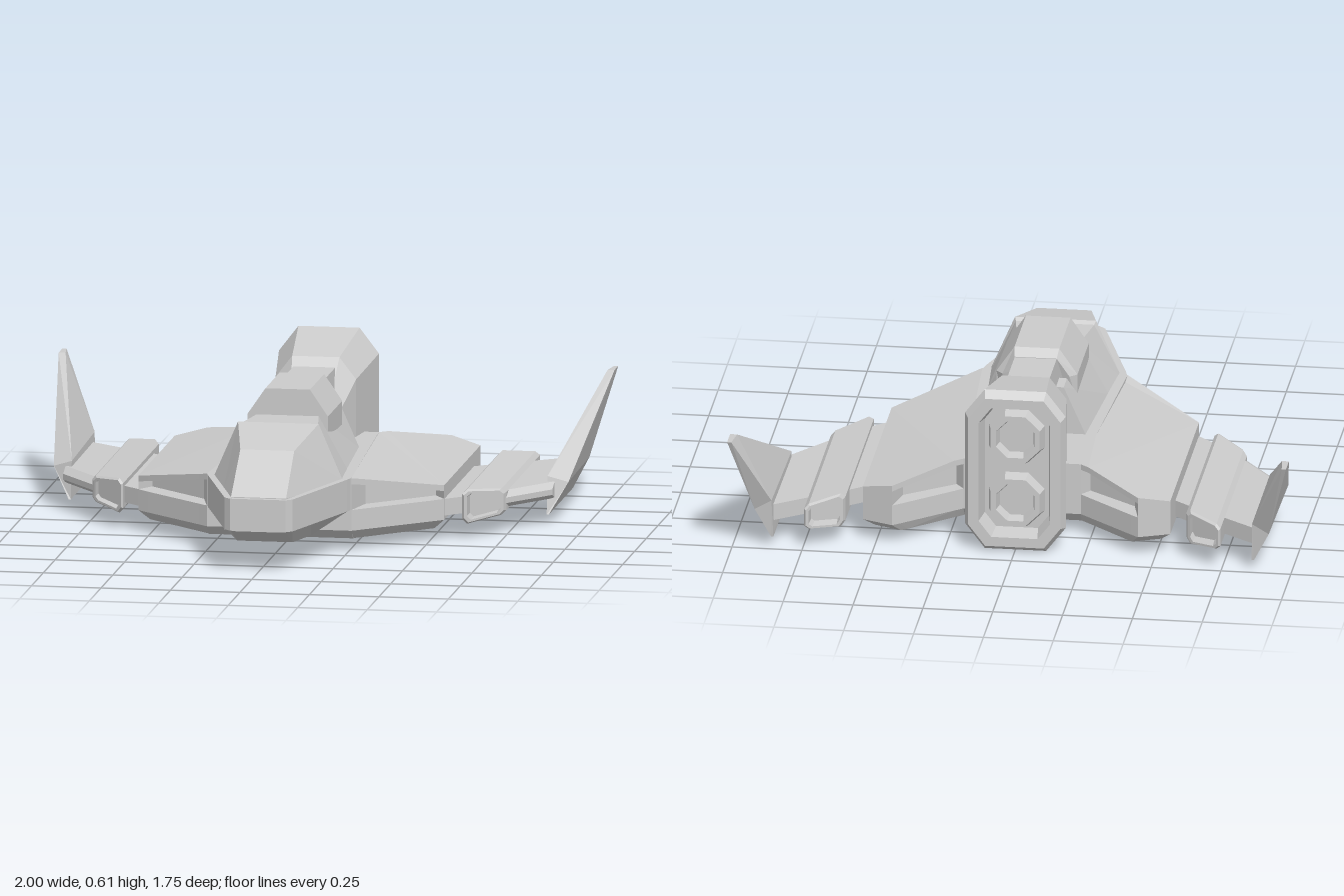
import * as THREE from 'three';

const material = new THREE.MeshStandardMaterial({ color: 0xcccccc, flatShading: true, side: THREE.DoubleSide });

// Skins a row of matching loops and caps both ends; (a, b) are the axes the caps are flattened onto
function loft(name, loops, a, b) {
  const tris = [];
  for (let i = 0; i < loops.length - 1; i++) {
    const p = loops[i], q = loops[i + 1];
    for (let j = 0; j < p.length; j++) {
      const k = (j + 1) % p.length;
      tris.push([p[j], p[k], q[k]], [p[j], q[k], q[j]]);
    }
  }
  const cap = (loop, reverse) => {
    const flat = loop.map(p => new THREE.Vector2(p[a], p[b]));
    const sign = Math.sign(THREE.ShapeUtils.area(flat)) * (reverse ? -1 : 1);
    for (const t of THREE.ShapeUtils.triangulateShape(flat, [])) {
      const same = THREE.ShapeUtils.area(t.map(i => flat[i])) * sign > 0;
      const [x, y, z] = t.map(i => loop[i]);
      tris.push(same ? [x, y, z] : [x, z, y]);
    }
  };
  cap(loops[0], true);
  cap(loops[loops.length - 1], false);
  // Turn all faces outward
  let volume = 0;
  for (const [p, q, r] of tris) {
    const [u, v, w] = [p, q, r].map(c => new THREE.Vector3(...c));
    volume += u.dot(v.cross(w));
  }
  if (volume < 0) tris.forEach(t => t.reverse());
  const geometry = new THREE.BufferGeometry();
  geometry.setAttribute('position', new THREE.Float32BufferAttribute(tris.flat(2), 3));
  geometry.computeVertexNormals();
  const mesh = new THREE.Mesh(geometry, material);
  mesh.name = name;
  return mesh;
}

// Loft along z from half outlines [x, y], mirrored in x
const loftZ = (name, sections) => loft(name, sections.map(({ z, half }) => {
  const right = half.map(([x, y, dz = 0]) => [x, y, z + dz]);
  return [...right, ...right.map(([x, y, pz]) => [-x, y, pz]).reverse()];
}), 0, 1);

// Loft upward from plan loops [x, z]; height may be a function of x
const loftY = (name, side, layers) => loft(name, layers.map(([plan, y]) =>
  plan.map(([x, z]) => [x * side, typeof y === 'function' ? y(x) : y, z])), 0, 2);

function addSide(group, side) {
  // Thick inner wing with slots in its leading and inner trailing edges
  const plan = [[0.2, 0.42], [0.26, 0.42], [0.29, 0.393], [0.51, 0.196], [0.55, 0.16], [0.55, -0.61],
    [0.44, -0.655], [0.415, -0.635], [0.24, -0.485], [0.21, -0.46], [0.2, -0.46]];
  const slot = plan.map(p => [...p]);
  slot[2][1] = 0.3; slot[3][1] = 0.1; slot[7][1] = -0.55; slot[8][1] = -0.42;
  const bottom = plan.map(([x, z]) => [0.2 + (x - 0.2) * 0.89, -0.1 + (z + 0.1) * 0.92]);
  const top = x => Math.min(0.265, 0.265 - (x - 0.26) * 0.224);
  const rim = x => top(x) - 0.022;
  group.add(loftY('innerWing', side, [[bottom, 0.04], [plan, 0.075], [plan, 0.15], [slot, 0.151],
    [slot, rim], [plan, x => rim(x) + 0.001], [plan, top]]));

  // Thin panels either side of the pod
  const strip = [[0.54, 0.165], [0.62, 0.09], [0.62, -0.53], [0.54, -0.465]];
  group.add(loftY('wingStrip', side, [[strip, 0.09], [strip, 0.15]]));
  const panel = [[0.73, 0.01], [0.88, -0.19], [0.88, -0.715], [0.73, -0.605]];
  const panelInset = panel.map(([x, z], i) => [x, z + (i < 2 ? -0.05 : 0)]);
  group.add(loftY('outerWingPanel', side, [[panelInset, 0.09], [panel, 0.11], [panel, 0.13], [panelInset, 0.15]]));

  // Bevelled pod with slanted, hollowed ends
  const outline = [[0.61, 0.075], [0.625, 0.055], [0.73, 0.07], [0.745, 0.085],
    [0.745, 0.15], [0.73, 0.165], [0.625, 0.18], [0.61, 0.165]];
  const ring = (front, scale, inset) => outline.map(([px, py]) => {
    const x = 0.678 + (px - 0.678) * scale, y = 0.118 + (py - 0.118) * scale;
    const z = front ? 0.145 - (x - 0.61) * 1.07 - inset : -0.64 - (x - 0.61) * 0.74 + inset;
    return [x * side, y, z];
  });
  group.add(loft('wingPod', [ring(true, 0.72, 0.05), ring(true, 0.76, 0), ring(true, 0.9, 0), ring(true, 1, 0.015),
    ring(false, 1, 0.015), ring(false, 0.9, 0), ring(false, 0.76, 0), ring(false, 0.72, 0.05)], 0, 1));

  // Swept, upturned tip fin
  group.add(loft('tipFin', [
    [[0.856, 0.035, -0.21], [0.864, 0.035, -0.21], [0.864, 0.035, -0.72], [0.856, 0.035, -0.72]],
    [[0.856, 0.17, -0.23], [0.926, 0.145, -0.26], [0.92, 0.145, -0.74], [0.86, 0.18, -0.74]],
    [[0.975, 0.45, -0.8], [1, 0.45, -0.8], [1, 0.45, -0.88], [0.985, 0.45, -0.88]],
  ].map(l => l.map(([x, y, z]) => [x * side, y, z])), 0, 2));
}

export function createModel() {
  const group = new THREE.Group();

  // Nose hull: [z, half width, keel half width, keel height]
  group.add(loftZ('noseHull', [
    [0.875, 0.1, 0.08, 0.148], [0.855, 0.122, 0.1, 0.145], [0.72, 0.165, 0.1, 0.085],
    [0.45, 0.25, 0.12, 0.06], [0.41, 0.26, 0.16, 0.1],
  ].map(([z, w, kw, ky]) => ({ z, half: [[w, 0.265], [w, 0.15], [kw, ky]] }))));

  // Central hull between the wings
  const hull = [[-0.26, 0.42], [0.26, 0.42], [0.21, -0.46], [-0.21, -0.46]];
  const hullBottom = hull.map(([x, z]) => [x, z > 0 ? 0.378 : -0.431]);
  group.add(loftY('centreHull', 1, [[hullBottom, 0.04], [hull, 0.075], [hull, 0.265]]));

  // Canopy and shoulders: [z, base half width, top half width, top height]
  group.add(loftZ('canopy', [
    [0.855, 0.1, 0.099, 0.268], [0.67, 0.158, 0.097, 0.405], [0.435, 0.232, 0.145, 0.46],
    [0.42, 0.23, 0.14, 0.45], [0.24, 0.217, 0.112, 0.45], [-0.17, 0.19, 0.11, 0.44],
  ].map(([z, w, tw, ty]) => ({ z, half: [[tw, ty], [w, 0.26]] }))));

  // Raised housing behind the canopy, with a raked rear end
  group.add(loftZ('dorsalHousing', [
    { z: 0.238, half: [[0.08, 0.545], [0.145, 0.45], [0.145, 0.395]] },
    { z: -0.06, half: [[0.08, 0.545, -0.005], [0.145, 0.45, -0.005], [0.145, 0.342]] },
    { z: -0.06, half: [[0.075, 0.52, -0.04], [0.12, 0.45, -0.03], [0.12, 0.345, -0.005]] },
  ]));

  // Neck joining the housing to the engine
  group.add(loftZ('neck', [-0.05, -0.38].map(z => ({ z, half: [[0.075, 0.518], [0.085, 0.41], [0.1, 0.26]] }))));

  // Flared engine block with a hollow rear: [z, half width, bottom, top, chamfer]
  group.add(loftZ('engineBlock', [
    [-0.22, 0.1, 0.07, 0.4, 0.03], [-0.36, 0.145, 0.04, 0.55, 0.06], [-0.64, 0.18, 0, 0.605, 0.07],
    [-0.67, 0.165, 0.02, 0.58, 0.06], [-0.67, 0.128, 0.055, 0.545, 0.045], [-0.6, 0.115, 0.07, 0.53, 0.04],
  ].map(([z, w, y0, y1, c]) => ({
    z, half: [[w - c, y1], [w, y1 - c * 1.3], [w, y0 + c * 1.3], [w - c, y0]],
  }))));

  // Two stacked eight-sided nozzles
  const profile = [[0, 0.005], [0.065, 0.005], [0.075, 0.045], [0.095, 0.045], [0.108, 0]]
    .map(([r, h]) => new THREE.Vector2(r, h));
  for (const y of [0.18, 0.42]) {
    const nozzle = new THREE.Mesh(new THREE.LatheGeometry(profile, 8, Math.PI / 8), material);
    nozzle.name = 'engineNozzle';
    nozzle.rotation.x = -Math.PI / 2;
    nozzle.position.set(0, y, -0.602);
    group.add(nozzle);
  }

  for (const side of [1, -1]) {
    const wing = new THREE.Group();
    wing.name = side > 0 ? 'leftWing' : 'rightWing';
    addSide(wing, side);
    group.add(wing);
  }
  return group;
}
